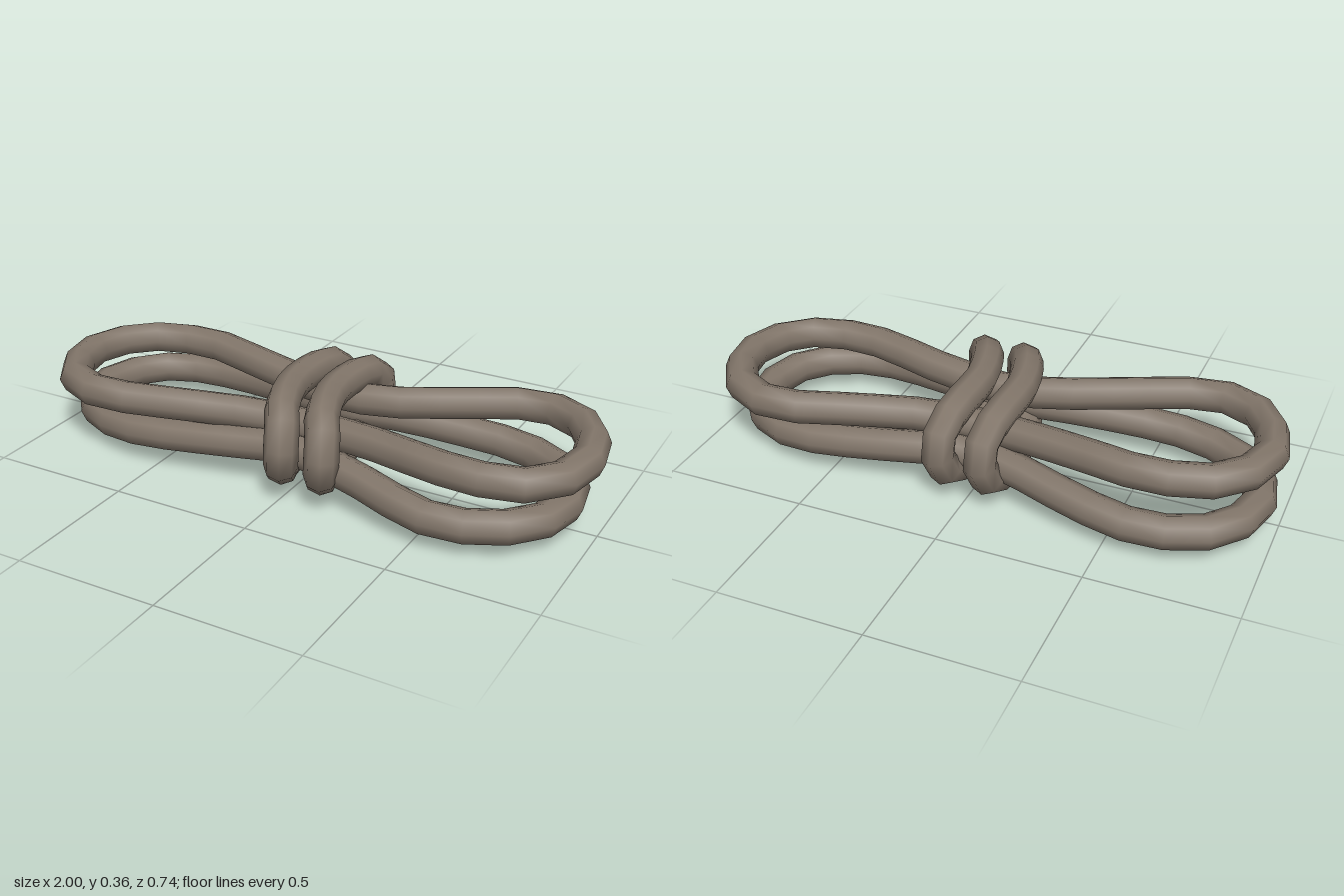
import * as THREE from 'three';

const RADIUS = 0.058;

// Closed rope: a smooth curve through [x, y, z] points, swept with an octagon
function rope(name, points, segments, material) {
  const curve = new THREE.CatmullRomCurve3(
    points.map(p => new THREE.Vector3(...p)), true, 'centripetal');
  const mesh = new THREE.Mesh(
    new THREE.TubeGeometry(curve, segments, RADIUS, 8, true), material);
  mesh.name = name;
  return mesh;
}

export function createModel() {
  const group = new THREE.Group();
  group.name = 'ropeBundle';
  const material = new THREE.MeshStandardMaterial({ color: 0x82766a });

  // Upper coil, pinched at the waist
  group.add(rope('upperCoil', [
    [-0.945, 0.25, 0.02], [-0.86, 0.25, -0.16], [-0.72, 0.25, -0.225],
    [-0.56, 0.25, -0.235], [-0.36, 0.24, -0.19], [0, 0.22, -0.13],
    [0.2, 0.225, -0.15], [0.45, 0.24, -0.245], [0.67, 0.25, -0.32],
    [0.82, 0.25, -0.275], [0.91, 0.25, -0.16], [0.94, 0.245, 0],
    [0.87, 0.235, 0.17], [0.72, 0.235, 0.23], [0.54, 0.235, 0.225],
    [0.3, 0.225, 0.165], [0, 0.215, 0.13], [-0.2, 0.225, 0.165],
    [-0.48, 0.24, 0.26], [-0.7, 0.25, 0.315], [-0.86, 0.25, 0.245],
  ], 34, material));

  // Lower coil
  group.add(rope('lowerCoil', [
    [-0.935, 0.1, -0.04], [-0.88, 0.1, -0.2], [-0.77, 0.1, -0.285],
    [-0.6, 0.1, -0.315], [-0.4, 0.115, -0.285], [-0.2, 0.135, -0.23],
    [0, 0.145, -0.19], [0.2, 0.14, -0.225], [0.4, 0.125, -0.255],
    [0.62, 0.11, -0.265], [0.78, 0.1, -0.21], [0.89, 0.1, -0.06],
    [0.87, 0.1, 0.15], [0.75, 0.1, 0.27], [0.56, 0.1, 0.315],
    [0.25, 0.13, 0.24], [0, 0.145, 0.19], [-0.3, 0.13, 0.235],
    [-0.6, 0.11, 0.26], [-0.8, 0.1, 0.2], [-0.91, 0.1, 0.08],
  ], 34, material));

  // Two bindings round the waist, swung sideways at the front
  const binding = [
    [-0.01, 0.306, 0], [0.01, 0.306, 0.1], [0.05, 0.293, 0.21],
    [0.095, 0.25, 0.285], [0.1, 0.18, 0.305], [0.08, 0.11, 0.27],
    [0.035, 0.075, 0.17], [0, 0.058, 0], [-0.01, 0.075, -0.17],
    [0, 0.11, -0.265], [0.01, 0.18, -0.3], [0.01, 0.25, -0.28],
    [0, 0.293, -0.21], [-0.01, 0.306, -0.09],
  ];
  for (const [name, x] of [['rightBinding', -0.08], ['leftBinding', 0.07]]) {
    const mesh = rope(name, binding, 20, material);
    mesh.position.x = x;
    group.add(mesh);
  }

  return group;
}
